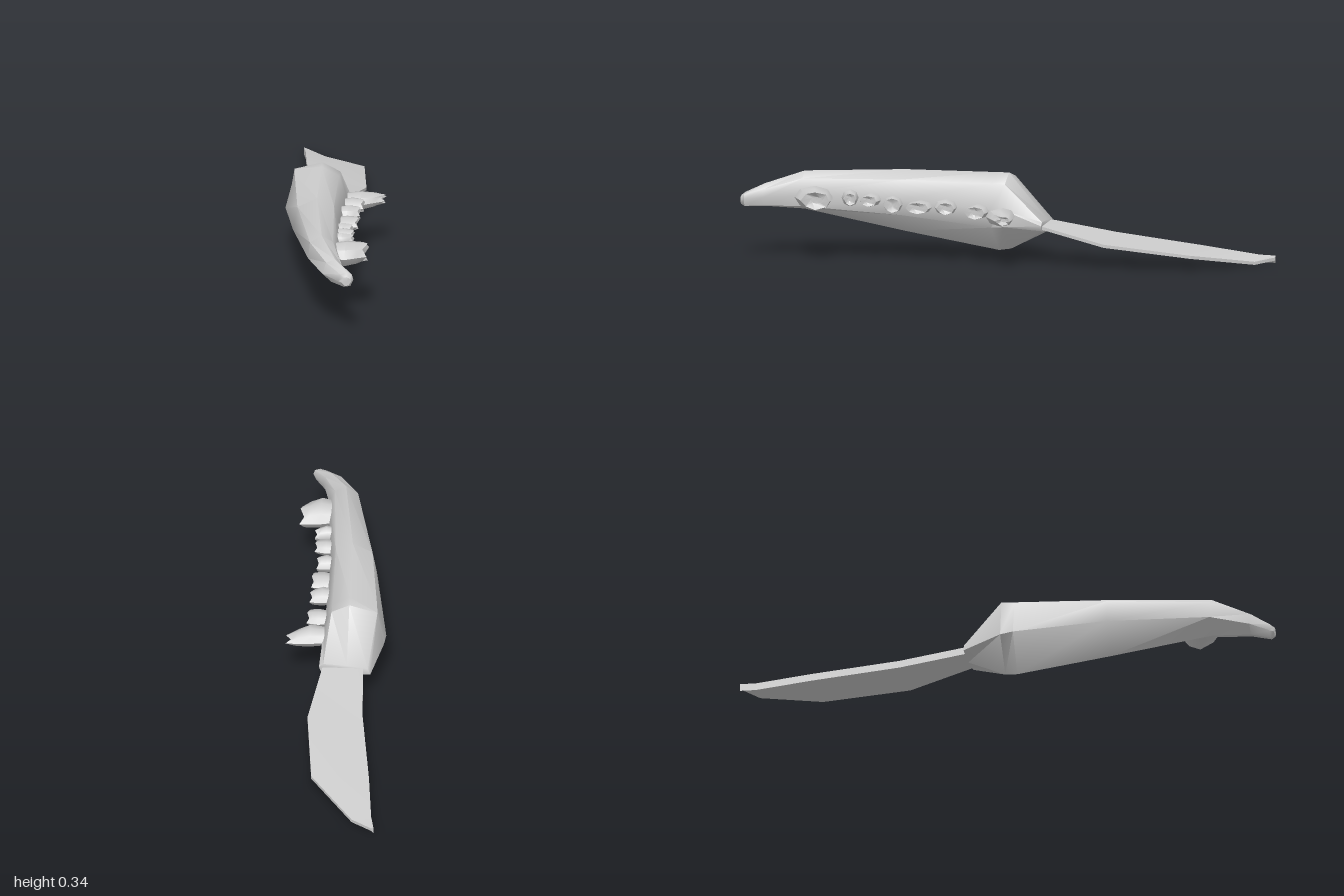
import * as THREE from 'three';
import { toCreasedNormals } from 'three/addons/utils/BufferGeometryUtils.js';

const material = new THREE.MeshStandardMaterial({ color: 0xcccccc, side: THREE.DoubleSide });

// Skin rings of [x, y, z] points that run clockwise seen from the end of the loft; both ends are capped.
function loft(rings, crease) {
  const n = rings[0].length, last = rings.length - 1;
  const points = rings.flat();
  const index = [];
  for (let i = 0; i < last; i++) {
    for (let j = 0; j < n; j++) {
      const a = i * n + j, b = i * n + (j + 1) % n;
      index.push(a, a + n, b + n, a, b + n, b);
    }
  }
  for (const end of [0, last]) {
    const centre = [0, 1, 2].map(k => rings[end].reduce((s, p) => s + p[k], 0) / n);
    const c = points.push(centre) - 1;
    for (let j = 0; j < n; j++) {
      const a = end * n + j, b = end * n + (j + 1) % n;
      index.push(c, end ? b : a, end ? a : b);
    }
  }
  const geometry = new THREE.BufferGeometry();
  geometry.setAttribute('position', new THREE.Float32BufferAttribute(points.flat(), 3));
  geometry.setIndex(index);
  return toCreasedNormals(geometry, crease);
}

const section = (z, pts) => pts.map(([x, y]) => [x, y, z]);

// Hollow-ended peg: local z points away from the body, local x runs along the row
function toothGeometry(length, width, height, flare, lean) {
  const sides = 8;
  const ring = (z, s, dx, jag) => Array.from({ length: sides }, (_, j) => {
    const a = -j / sides * Math.PI * 2;
    return [
      dx + Math.cos(a) * width / 2 * s,
      Math.sin(a) * height / 2 * s,
      z + (j % 2 ? -jag : jag),
    ];
  });
  return loft([
    ring(-0.03, 0.75, 0, 0),
    ring(length * 0.35, 1, 0, 0),
    ring(length * 0.7, (1 + flare) / 2, lean * 0.6, 0),
    ring(length * 0.93, flare, lean, length * 0.07),
    ring(length * 0.8, flare * 0.4, lean, 0),
  ], 0.8);
}

export function createModel() {
  const model = new THREE.Group();
  const add = (name, geometry) => {
    const mesh = new THREE.Mesh(geometry, material);
    mesh.name = name;
    model.add(mesh);
    return mesh;
  };

  // Body: a tapered horn, deepest at the back and hooked at the tip
  add('body', loft([
    section(-0.15, [[-0.12, 0.155], [-0.04, 0.165], [0.05, 0.168], [0.066, 0.155], [0.06, 0.135], [-0.04, 0.12], [-0.13, 0.13]]),
    section(0, [[-0.145, 0.31], [-0.038, 0.34], [0.03, 0.305], [0.06, 0.21], [0.06, 0.145], [-0.07, 0.042], [-0.17, 0.165]]),
    section(0.05, [[-0.14, 0.308], [-0.036, 0.34], [0.03, 0.305], [0.06, 0.21], [0.05, 0.14], [-0.085, 0.032], [-0.175, 0.17]]),
    section(0.4, [[-0.095, 0.302], [-0.02, 0.34], [0.045, 0.31], [0.065, 0.235], [0.055, 0.175], [-0.03, 0.1], [-0.112, 0.21]]),
    section(0.78, [[-0.01, 0.3], [0.035, 0.329], [0.078, 0.305], [0.1, 0.25], [0.09, 0.2], [0.04, 0.183], [-0.017, 0.235]]),
    section(0.92, [[0.065, 0.272], [0.1, 0.285], [0.125, 0.265], [0.132, 0.235], [0.122, 0.203], [0.085, 0.195], [0.052, 0.225]]),
    section(0.985, [[0.125, 0.25], [0.15, 0.257], [0.17, 0.25], [0.176, 0.232], [0.165, 0.205], [0.14, 0.2], [0.118, 0.222]]),
    section(1, [[0.138, 0.24], [0.15, 0.245], [0.163, 0.24], [0.168, 0.228], [0.16, 0.212], [0.145, 0.208], [0.132, 0.222]]),
  ], 0.85));

  // Blade: thick spine on the -x side, thin edge on the +x side; [z, spineX, spineY, edgeX, edgeY]
  const bladeStations = [
    [-1, -0.208, 0.018, -0.2, 0.02],
    [-0.94, -0.195, 0.022, -0.12, 0.014],
    [-0.73, -0.17, 0.053, 0.05, 0.056],
    [-0.4, -0.12, 0.1, 0.09, 0.092],
    [-0.13, -0.1, 0.145, 0.05, 0.15],
  ];
  add('blade', loft(bladeStations.map(([z, sx, sy, ex, ey]) => section(z, [
    [sx, sy + 0.014], [ex, ey + 0.006], [ex, ey - 0.006], [sx, sy - 0.014],
  ])), 0.4));

  // Teeth: [z, y, baseX, tipX, width, height, flare, lean towards the back]
  const teeth = [
    [0, 0.19, 0.06, 0.2, 0.11, 0.068, 0.5, 0.03],
    [0.095, 0.205, 0.06, 0.13, 0.09, 0.055, 0.85, 0],
    [0.22, 0.217, 0.055, 0.128, 0.09, 0.06, 0.75, 0.01],
    [0.32, 0.215, 0.06, 0.13, 0.1, 0.047, 0.9, 0],
    [0.425, 0.22, 0.06, 0.118, 0.075, 0.065, 0.85, 0.005],
    [0.51, 0.235, 0.065, 0.132, 0.08, 0.05, 0.8, 0],
    [0.59, 0.24, 0.07, 0.138, 0.065, 0.065, 0.7, 0.01],
    [0.725, 0.24, 0.08, 0.203, 0.15, 0.09, 0.75, 0.025],
  ];
  teeth.forEach(([z, y, baseX, tipX, width, height, flare, lean], i) => {
    const tooth = add(`tooth${i + 1}`, toothGeometry(tipX - baseX, width, height, flare, lean));
    tooth.position.set(baseX, y, z);
    tooth.rotation.y = Math.PI / 2;
  });

  return model;
}
